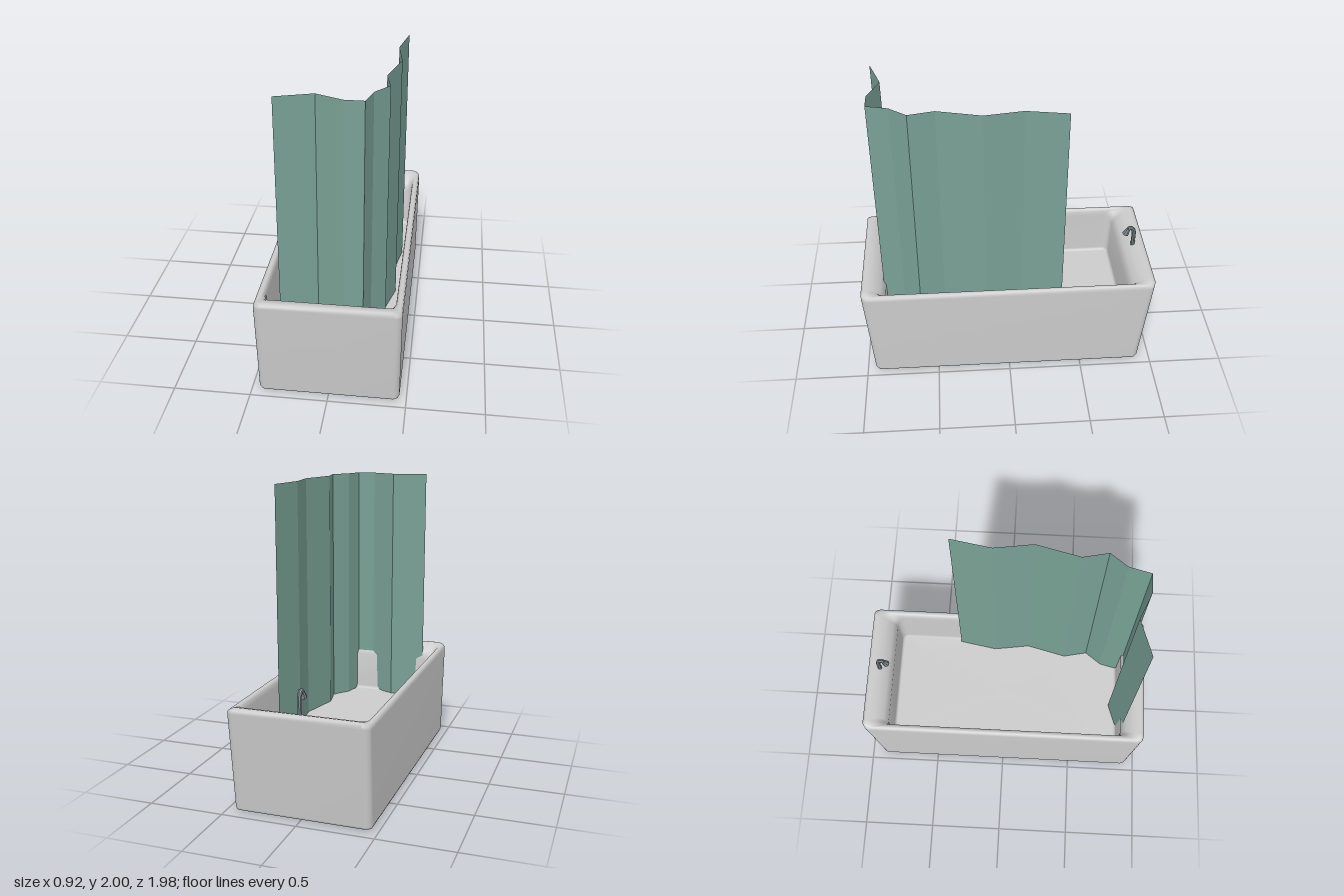
import * as THREE from 'three';

const CORNER_STEPS = 7;

// Rounded rectangle in plan; side and end edges may lie at different heights.
function ring({ side, end = side, hx, front, back, r }) {
  const pts = [];
  for (let q = 0; q < 4; q++) {
    const cx = (q === 0 || q === 3 ? 1 : -1) * (hx - r);
    const cz = q < 2 ? front - r : back + r;
    for (let i = 0; i <= CORNER_STEPS; i++) {
      const a = (q + i / CORNER_STEPS) * Math.PI / 2;
      const s = Math.sin(a);
      pts.push([cx + r * Math.cos(a), side + (end - side) * s * s, cz + r * s]);
    }
  }
  return pts;
}

// Skin of quads through a series of rings, smooth shaded.
function loft(rings) {
  const n = rings[0].length, index = [];
  for (let i = 0; i < rings.length - 1; i++) {
    for (let j = 0; j < n; j++) {
      const a = i * n + j, b = i * n + (j + 1) % n;
      index.push(a, a + n, b, b, a + n, b + n);
    }
  }
  const geo = new THREE.BufferGeometry();
  geo.setAttribute('position', new THREE.Float32BufferAttribute(rings.flat(2), 3));
  geo.setIndex(index);
  geo.computeVertexNormals();
  return geo;
}

// Open sheet hanging along a plan path of [x, z] points.
function sheet(path, y0, y1) {
  const pos = [];
  for (let i = 0; i < path.length - 1; i++) {
    const [ax, az] = path[i], [bx, bz] = path[i + 1];
    pos.push(ax, y0, az, bx, y0, bz, bx, y1, bz, ax, y0, az, bx, y1, bz, ax, y1, az);
  }
  const geo = new THREE.BufferGeometry();
  geo.setAttribute('position', new THREE.Float32BufferAttribute(pos, 3));
  geo.computeVertexNormals();
  return geo;
}

export function createModel() {
  const model = new THREE.Group();
  const add = (parent, name, geo, mat) => {
    const mesh = new THREE.Mesh(geo, mat);
    mesh.name = name;
    parent.add(mesh);
    return mesh;
  };

  const enamel = new THREE.MeshStandardMaterial({ color: 0xcccccc });
  const cloth = new THREE.MeshStandardMaterial({ color: 0x78a094, side: THREE.DoubleSide, flatShading: true });
  const metal = new THREE.MeshStandardMaterial({ color: 0x7d8a8c, flatShading: true });

  // Tub: underside, flared outer wall, rolled rim, basin wall, floor
  const profile = [
    { side: 0, hx: 0, front: 0, back: 0, r: 0 },
    { side: 0, hx: 0.435, front: 0.92, back: -0.9, r: 0.03 },
    { side: 0.005, hx: 0.449, front: 0.936, back: -0.914, r: 0.04 },
    { side: 0.02, hx: 0.455, front: 0.945, back: -0.92, r: 0.045 },
    { side: 0.655, end: 0.665, hx: 0.46, front: 0.99, back: -0.985, r: 0.045 },
    { side: 0.676, end: 0.688, hx: 0.456, front: 0.99, back: -0.988, r: 0.045 },
    { side: 0.685, end: 0.698, hx: 0.446, front: 0.975, back: -0.972, r: 0.045 },
    { side: 0.687, end: 0.7, hx: 0.436, front: 0.955, back: -0.95, r: 0.045 },
    { side: 0.684, end: 0.685, hx: 0.424, front: 0.91, back: -0.9, r: 0.045 },
    { side: 0.672, end: 0.645, hx: 0.414, front: 0.865, back: -0.85, r: 0.045 },
    { side: 0.64, end: 0.59, hx: 0.41, front: 0.835, back: -0.82, r: 0.045 },
    { side: 0.335, hx: 0.405, front: 0.83, back: -0.813, r: 0.045 },
    { side: 0.317, hx: 0.4, front: 0.824, back: -0.808, r: 0.04 },
    { side: 0.31, hx: 0.385, front: 0.81, back: -0.795, r: 0.03 },
    { side: 0.31, hx: 0, front: 0, back: 0, r: 0 },
  ];
  add(model, 'tub', loft(profile.map(ring)), enamel);

  // Folded shower curtain wrapping the front and left side
  const folds = [
    [-0.31, 0.85], [-0.08, 0.775], [0.09, 0.85], [0.21, 0.85], [0.245, 0.71],
    [0.33, 0.6], [0.295, 0.435], [0.365, 0.155], [0.328, -0.095], [0.375, -0.36],
  ];
  add(model, 'curtain', sheet(folds, 0.31, 2), cloth);

  // Tap: bent pipe with a flared spout
  const tap = new THREE.Group();
  tap.name = 'tap';
  model.add(tap);
  const bend = [[0.62, -0.906], [0.79, -0.908], [0.822, -0.898], [0.831, -0.882], [0.822, -0.868]]
    .map(([y, z]) => new THREE.Vector3(0, y, z));
  const pipe = new THREE.CurvePath();
  for (let i = 0; i < bend.length - 1; i++) pipe.add(new THREE.LineCurve3(bend[i], bend[i + 1]));
  add(tap, 'tapPipe', new THREE.TubeGeometry(pipe, 20, 0.015, 8), metal);

  const from = bend[bend.length - 1], to = new THREE.Vector3(0, 0.776, -0.848);
  const axis = from.clone().sub(to);
  const spout = add(tap, 'tapSpout', new THREE.CylinderGeometry(0.014, 0.024, axis.length(), 8), metal);
  spout.position.copy(from).add(to).multiplyScalar(0.5);
  spout.quaternion.setFromUnitVectors(new THREE.Vector3(0, 1, 0), axis.normalize());

  return model;
}
